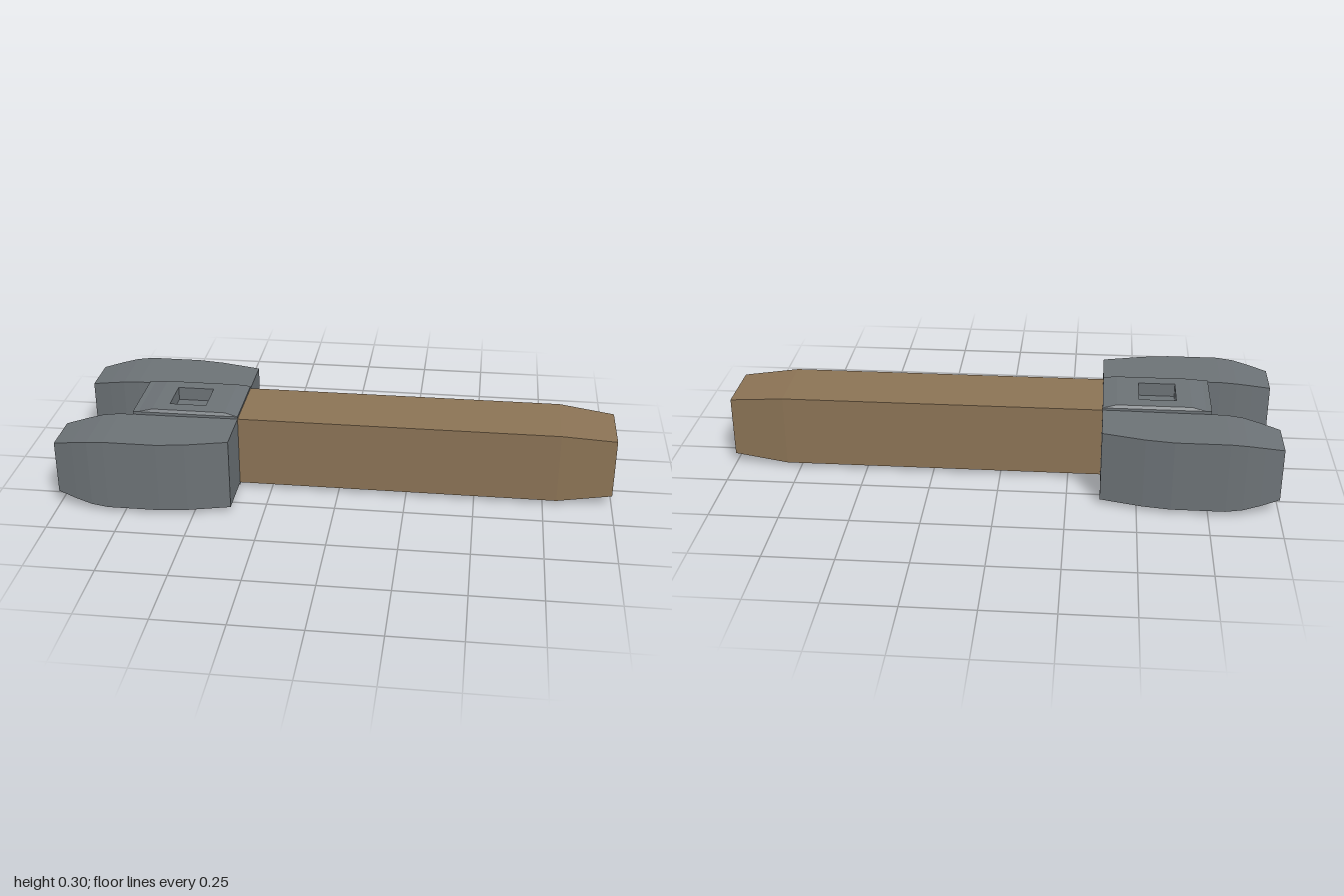
import * as THREE from 'three';

// Lofts four-cornered rings into a closed, hard-edged solid with both ends capped.
function loft(rings) {
  const pos = [];
  const quad = (a, b, c, d) => pos.push(...a, ...b, ...c, ...a, ...c, ...d);
  for (let r = 0; r < rings.length - 1; r++) {
    const a = rings[r], b = rings[r + 1];
    for (let i = 0; i < 4; i++) {
      const j = (i + 1) % 4;
      quad(a[i], a[j], b[j], b[i]);
    }
  }
  quad(...[...rings[0]].reverse());
  quad(...rings[rings.length - 1]);
  const g = new THREE.BufferGeometry();
  g.setAttribute('position', new THREE.Float32BufferAttribute(pos, 3));
  g.computeVertexNormals();
  return g;
}

const MID = 0.152; // centre height

// Ring across x: half height h, depth from z0 to z1
const ringX = (x, h, z0, z1) => [
  [x, MID - h, z0], [x, MID + h, z0], [x, MID + h, z1], [x, MID - h, z1],
];
// Ring across y: x from x0 to x1, half depth d
const ringY = (y, x0, x1, d) => [
  [x0, y, -d], [x0, y, d], [x1, y, d], [x1, y, -d],
];

export function createModel() {
  const group = new THREE.Group();
  const wood = new THREE.MeshStandardMaterial({ color: 0x8b7355 });
  wood.name = 'wood';
  const metal = new THREE.MeshStandardMaterial({ color: 0x6c7276 });
  metal.name = 'grey metal';
  const add = (name, geometry, material) => {
    const mesh = new THREE.Mesh(geometry, material);
    mesh.name = name;
    group.add(mesh);
    return mesh;
  };

  // Handle with a tapered end
  add('handle', loft([
    ringX(-0.37, 0.132, -0.132, 0.132),
    ringX(0.8, 0.132, -0.132, 0.132),
    ringX(1, 0.111, -0.112, 0.112),
  ]), wood);

  // Curved jaws: x, half height, inner z, outer z
  const jaw = [
    [-1, 0.098, 0.173, 0.33], [-0.93, 0.114, 0.155, 0.349],
    [-0.87, 0.126, 0.142, 0.362], [-0.81, 0.132, 0.137, 0.367],
    [-0.62, 0.132, 0.136, 0.367], [-0.52, 0.132, 0.134, 0.353],
    [-0.37, 0.132, 0.131, 0.315],
  ];
  add('leftJaw', loft(jaw.map(([x, h, a, b]) => ringX(x, h, a, b))), metal);
  add('rightJaw', loft(jaw.map(([x, h, a, b]) => ringX(x, h, -b, -a))), metal);

  // Central block, bevelled, with a square pocket above and below
  const half = [
    [0.1, -0.635, -0.5, 0.07], [0.15, -0.635, -0.5, 0.07],
    [0.15, -0.69, -0.42, 0.122], [0.141, -0.74, -0.37, 0.132],
  ];
  add('centreBlock', loft([
    ...half.map(([h, a, b, d]) => ringY(MID - h, a, b, d)),
    ...[...half].reverse().map(([h, a, b, d]) => ringY(MID + h, a, b, d)),
  ]), metal);

  // Raised rim around the recessed face between the jaws
  const rect = (s, w, h) => s.moveTo(-w, -h).lineTo(w, -h).lineTo(w, h).lineTo(-w, h).closePath();
  const rim = rect(new THREE.Shape(), 0.132, 0.141);
  rim.holes.push(rect(new THREE.Path(), 0.1, 0.11));
  const frame = add('mouthRim',
    new THREE.ExtrudeGeometry(rim, { depth: 0.02, bevelEnabled: false }), metal);
  frame.rotation.y = -Math.PI / 2;
  frame.position.set(-0.74, MID, 0);

  return group;
}
